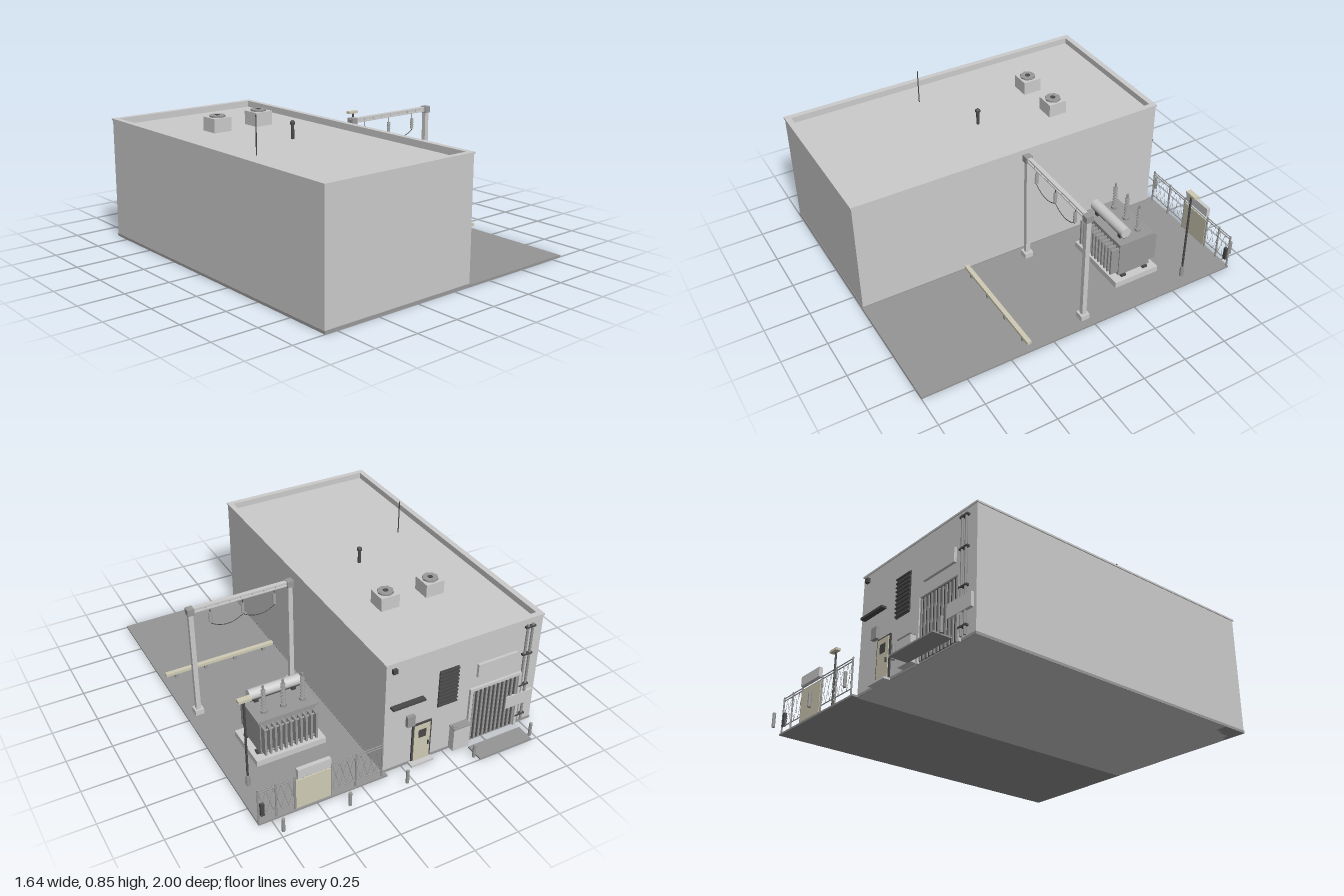
import * as THREE from 'three';

const mat = (color) => new THREE.MeshStandardMaterial({ color });
const grey = mat(0xcccccc), ground = mat(0x959595), dark = mat(0x4a4a4a), mid = mat(0x999999), beige = mat(0xcfcbb4);

export function createModel() {
  const model = new THREE.Group();
  let target = model;

  const add = (name, geometry, material = grey) => {
    const mesh = new THREE.Mesh(geometry, material);
    mesh.name = name;
    target.add(mesh);
    return mesh;
  };
  // Box given by its limits on each axis
  const box = (name, x0, x1, y0, y1, z0, z1, m) => {
    const mesh = add(name, new THREE.BoxGeometry(x1 - x0, y1 - y0, z1 - z0), m);
    mesh.position.set((x0 + x1) / 2, (y0 + y1) / 2, (z0 + z1) / 2);
    return mesh;
  };
  // Upright cylinder from y0 to y1
  const post = (name, x, z, y0, y1, r, m, sides = 12, rTop = r) => {
    const mesh = add(name, new THREE.CylinderGeometry(rTop, r, y1 - y0, sides), m);
    mesh.position.set(x, (y0 + y1) / 2, z);
    return mesh;
  };
  // Round bar between two points
  const bar = (name, a, b, r, m, sides = 6) => {
    const p = new THREE.Vector3(...a), d = new THREE.Vector3(...b).sub(p);
    const mesh = add(name, new THREE.CylinderGeometry(r, r, d.length(), sides), m);
    mesh.position.copy(p).addScaledVector(d, 0.5);
    mesh.quaternion.setFromUnitVectors(new THREE.Vector3(0, 1, 0), d.normalize());
    return mesh;
  };
  const group = (name, build) => {
    target = new THREE.Group();
    target.name = name;
    model.add(target);
    build();
    target = model;
  };
  // Stack of insulator discs around a core
  const insulator = (name, x, z, y0, y1, count, r) => {
    post(name + 'Core', x, z, y0, y1, r * 0.4, mid, 10);
    for (let i = 0; i < count; i++) {
      const y = y0 + ((i + 0.5) / count) * (y1 - y0);
      post(name + 'Disc', x, z, y - 0.004, y + 0.004, r, mid, 14, r * 0.8);
    }
  };

  box('yardPad', 0.1, 0.82, 0, 0.01, -0.88, 1, ground);

  group('building', () => {
    box('walls', -0.818, 0.11, 0, 0.645, -0.845, 0.995);
    box('plinth', -0.82, 0.112, 0, 0.015, -0.848, 0.998, mid);
    // Parapet ring and its coping
    const ring = (name, y0, y1, out, inset) => {
      const x0 = -0.818 - out, x1 = 0.11 + out, z0 = -0.845 - out, z1 = 0.995 + out;
      const shape = new THREE.Shape([[x0, -z0], [x1, -z0], [x1, -z1], [x0, -z1]].map((p) => new THREE.Vector2(...p)));
      shape.holes.push(new THREE.Path([[x0 + inset, -z0 - inset], [x0 + inset, -z1 + inset],
        [x1 - inset, -z1 + inset], [x1 - inset, -z0 - inset]].map((p) => new THREE.Vector2(...p))));
      const mesh = add(name, new THREE.ExtrudeGeometry(shape, { depth: y1 - y0, bevelEnabled: false }));
      mesh.rotation.x = -Math.PI / 2;
      mesh.position.y = y0;
    };
    ring('parapet', 0.64, 0.672, 0, 0.025);
    ring('coping', 0.672, 0.682, 0.005, 0.032);
  });

  group('roofEquipment', () => {
    for (const x of [-0.457, -0.183]) {
      box('fanUnit', x - 0.055, x + 0.055, 0.645, 0.722, -0.4, -0.293);
      post('fanHousing', x, -0.346, 0.722, 0.732, 0.044, mid, 8);
      post('fanHub', x, -0.346, 0.732, 0.734, 0.015, dark, 8);
    }
    post('ventPipe', -0.275, 0.08, 0.645, 0.725, 0.009, dark);
    post('ventCollar', -0.275, 0.08, 0.722, 0.735, 0.014, dark);
    post('ventCap', -0.275, 0.08, 0.735, 0.745, 0.014, dark, 12, 0.003);
    post('antenna', -0.64, 0.262, 0.645, 0.845, 0.003, dark, 6);
  });

  group('backWall', () => {
    // Personnel door with canopy, lamp and step
    box('doorFrame', -0.17, -0.055, 0.01, 0.25, -0.853, -0.84, dark);
    box('door', -0.16, -0.065, 0.01, 0.24, -0.857, -0.84, beige);
    box('doorWindow', -0.135, -0.09, 0.16, 0.21, -0.859, -0.85, dark);
    box('doorHandle', -0.152, -0.145, 0.1, 0.125, -0.864, -0.85, dark);
    box('doorStep', -0.175, -0.04, 0, 0.012, -0.885, -0.84);
    box('doorCanopy', -0.11, 0.08, 0.408, 0.42, -0.875, -0.84, dark);
    box('wallBox', -0.06, -0.015, 0.26, 0.325, -0.866, -0.84, mid);
    box('wallLamp', 0.055, 0.08, 0.625, 0.65, -0.862, -0.84, dark);
    // Louvred vent
    box('louvreBack', -0.315, -0.2, 0.31, 0.535, -0.849, -0.84, dark);
    for (let i = 0; i < 10; i++) {
      box('louvreSlat', -0.315, -0.2, -0.004, 0.004, -0.857, -0.845, dark).position.y = 0.32 + i * 0.0228;
    }
    // Outdoor cabinet with a fan on top
    box('cabinet', -0.39, -0.29, 0.01, 0.15, -0.888, -0.845);
    box('cabinetLid', -0.393, -0.287, 0.15, 0.157, -0.892, -0.845, mid);
    post('cabinetFan', -0.31, -0.868, 0.157, 0.163, 0.018, mid);
    // Ribbed roller door
    box('rollerDoor', -0.7, -0.41, 0.01, 0.34, -0.85, -0.84, dark);
    for (let i = 0; i <= 10; i++) {
      const x = -0.69 + i * 0.027;
      box('doorRib', x - 0.006, x + 0.006, 0.01, 0.33, -0.856, -0.84, mid);
    }
    for (const x of [-0.708, -0.402]) box('doorJamb', x - 0.008, x + 0.008, 0, 0.35, -0.86, -0.84);
    box('doorHead', -0.716, -0.394, 0.338, 0.354, -0.86, -0.84);
    box('upperSign', -0.67, -0.43, 0.42, 0.5, -0.86, -0.84);
    box('lowerSign', -0.8, -0.63, 0.14, 0.215, -0.862, -0.84);
    // Wall pipes with brackets
    for (const x of [-0.72, -0.75]) post('wallPipe', x, -0.854, 0.02, 0.65, 0.007, mid, 8);
    for (const y of [0.06, 0.26, 0.46, 0.63]) box('pipeBracket', -0.765, -0.705, y, y + 0.01, -0.862, -0.84, dark);
  });

  // Loading apron and bollards
  box('loadingApron', -0.715, -0.385, 0, 0.008, -1, -0.895, ground);
  for (const x of [-0.73, -0.37, 0.035, 0.365, 0.73]) post('bollard', x, -0.965, 0, 0.08, 0.009, mid);

  group('fence', () => {
    const z = -0.87;
    for (const x of [0.13, 0.28, 0.42, 0.62, 0.72, 0.815]) post('fencePost', x, z, 0.01, 0.222, 0.005, mid, 8);
    for (const y of [0.05, 0.2, 0.215]) bar('fenceRail', [0.13, y, z], [0.815, y, z], 0.003, mid);
    for (let i = 0; i < 17; i++) {
      const a = 0.133 + i * 0.04;
      bar('fenceWire', [a, 0.05, z], [a + 0.04, 0.2, z], 0.001, mid, 4);
      bar('fenceWire', [a + 0.04, 0.05, z], [a, 0.2, z], 0.001, mid, 4);
    }
    box('gate', 0.425, 0.615, 0.015, 0.195, z - 0.006, z + 0.006, beige);
    box('gateSign', 0.43, 0.61, 0.215, 0.27, z - 0.018, z + 0.004);
    box('gateLock', 0.785, 0.805, 0.05, 0.125, z - 0.008, z + 0.008, dark);
  });

  group('gantry', () => {
    const z = 0.033;
    for (const x of [0.182, 0.75]) {
      box('footing', x - 0.025, x + 0.025, 0.01, 0.042, z - 0.025, z + 0.025);
      box('column', x - 0.013, x + 0.013, 0.042, 0.665, z - 0.013, z + 0.013);
      box('columnHead', x - 0.019, x + 0.019, 0.655, 0.692, z - 0.02, z + 0.02, mid);
    }
    // Beam with flanges, web and stiffeners
    for (const y of [0.663, 0.683]) box('beamFlange', 0.163, 0.768, y, y + 0.006, z - 0.012, z + 0.012);
    box('beamWeb', 0.163, 0.768, 0.665, 0.686, z - 0.004, z + 0.004);
    for (let i = 0; i < 9; i++) {
      const x = 0.2 + i * 0.066;
      box('beamStiffener', x - 0.003, x + 0.003, 0.665, 0.686, z - 0.01, z + 0.01);
    }
    const xs = [0.272, 0.456, 0.64];
    for (const x of xs) {
      post('hanger', x, z, 0.565, 0.665, 0.002, dark, 6);
      insulator('hangingInsulator', x, z, 0.572, 0.635, 6, 0.01);
    }
    // Sagging conductors
    for (let i = 0; i < 2; i++) {
      const curve = new THREE.QuadraticBezierCurve3(new THREE.Vector3(xs[i], 0.565, z),
        new THREE.Vector3((xs[i] + xs[i + 1]) / 2, 0.5, z), new THREE.Vector3(xs[i + 1], 0.565, z));
      add('conductor', new THREE.TubeGeometry(curve, 16, 0.002, 6), dark);
    }
  });

  group('transformer', () => {
    box('plinth', 0.256, 0.655, 0.01, 0.045, -0.515, -0.24);
    for (const z of [-0.45, -0.31]) box('skid', 0.29, 0.63, 0.045, 0.056, z - 0.015, z + 0.015, dark);
    box('tank', 0.302, 0.617, 0.054, 0.262, -0.482, -0.28, mid);
    box('tankLid', 0.287, 0.63, 0.262, 0.275, -0.492, -0.27, mid);
    // Cooling fins on both long sides
    for (let i = 0; i < 11; i++) {
      const x = 0.315 + i * 0.029;
      box('coolingFin', x - 0.006, x + 0.006, 0.075, 0.24, -0.525, -0.232, mid);
    }
    for (const z of [-0.505, -0.255]) {
      for (const y of [0.085, 0.225]) bar('finHeader', [0.31, y, z], [0.61, y, z], 0.006, mid, 8);
    }
    // Oil conservator on its saddles
    bar('conservator', [0.312, 0.323, -0.322], [0.604, 0.323, -0.322], 0.03, grey, 24);
    for (const x of [0.35, 0.565]) box('conservatorSaddle', x - 0.012, x + 0.012, 0.275, 0.305, -0.34, -0.304, dark);
    box('conservatorRail', 0.315, 0.6, 0.288, 0.298, -0.335, -0.309, dark);
    for (const x of [0.346, 0.456, 0.566]) {
      post('bushingFlange', x, -0.428, 0.275, 0.29, 0.018, mid, 16);
      insulator('bushing', x, -0.428, 0.29, 0.425, 7, 0.013);
      post('bushingTerminal', x, -0.428, 0.425, 0.445, 0.006, mid, 10);
    }
  });

  group('lightPole', () => {
    post('poleBase', 0.75, -0.61, 0.01, 0.075, 0.012, mid);
    post('pole', 0.75, -0.61, 0.075, 0.555, 0.006, dark);
    box('lampHead', 0.715, 0.785, 0.553, 0.568, -0.632, -0.602, beige);
  });

  group('lowBarrier', () => {
    box('barrierRail', 0.13, 0.8, 0.035, 0.052, 0.373, 0.398, beige);
    for (let i = 0; i < 4; i++) {
      const x = 0.19 + i * 0.183;
      box('barrierLeg', x - 0.009, x + 0.009, 0.01, 0.036, 0.376, 0.395, mid);
    }
  });

  return model;
}
